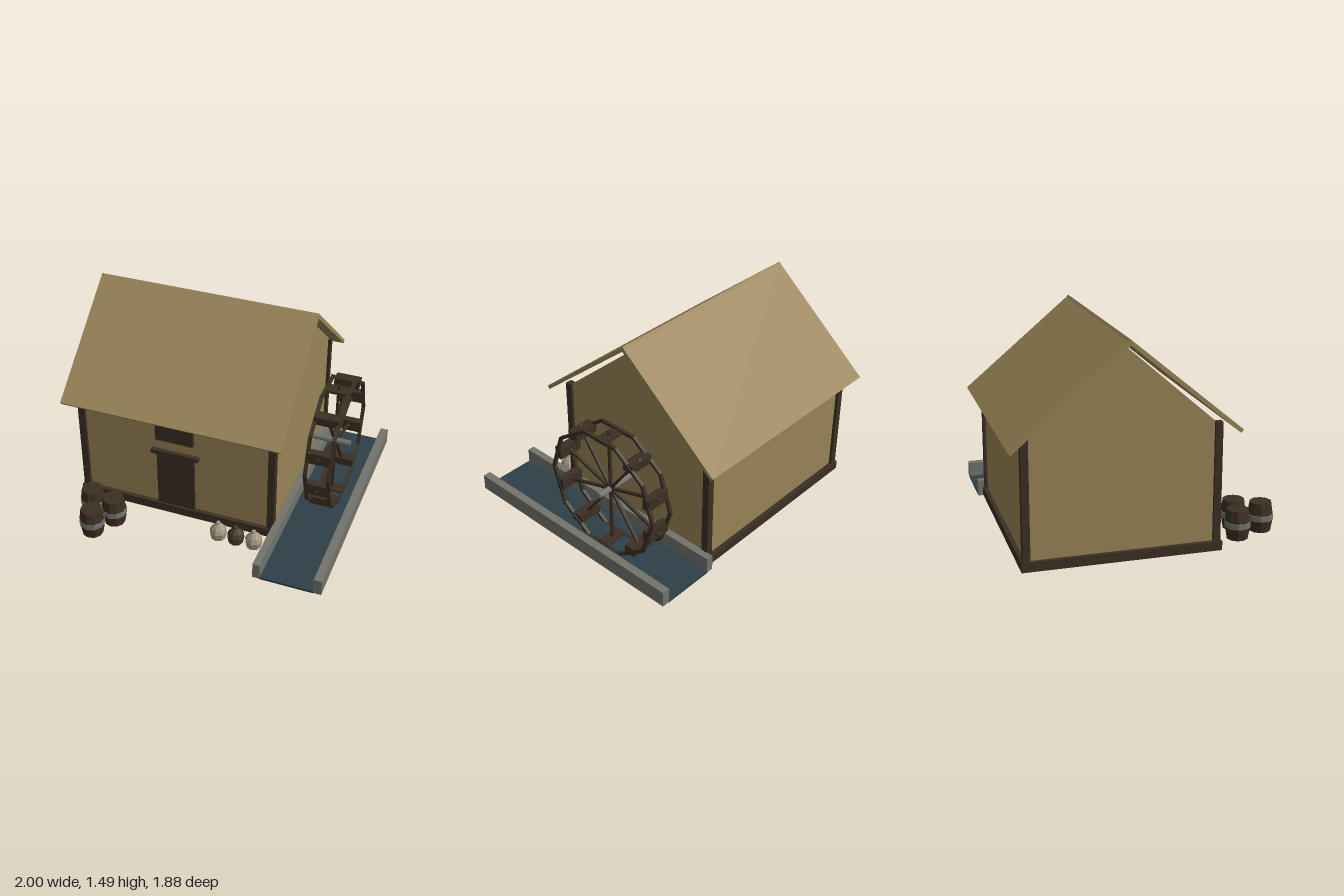
import * as THREE from 'three';

const mat = (name, color, extra = {}) => {
  const m = new THREE.MeshStandardMaterial({ color, flatShading: true, ...extra });
  m.name = name;
  return m;
};

export function createModel() {
  const root = new THREE.Group();
  root.name = 'watermill';
  const plaster = mat('straw plaster', 0x988356);
  const wood = mat('dark wood', 0x3b2f23);
  const stone = mat('grey stone', 0x73736b);
  const water = mat('water', 0x2d3f49);
  const cloth = mat('pale sackcloth', 0xa0957f);
  const brown = mat('brown sackcloth', 0x46362a);

  const add = (name, geo, material, parent = root) => {
    const m = new THREE.Mesh(geo, material);
    m.name = name;
    parent.add(m);
    return m;
  };
  // Box given by its extents along each axis
  const box = (name, material, x0, x1, y0, y1, z0, z1, parent = root) => {
    const m = add(name, new THREE.BoxGeometry(x1 - x0, y1 - y0, z1 - z0), material, parent);
    m.position.set((x0 + x1) / 2, (y0 + y1) / 2, (z0 + z1) / 2);
    return m;
  };
  // Extrude a [z, y] outline along x
  const prism = (name, material, pts, x0, x1) => {
    const shape = new THREE.Shape(pts.map(([z, y]) => new THREE.Vector2(-z, y)));
    const geo = new THREE.ExtrudeGeometry(shape, { depth: x1 - x0, bevelEnabled: false });
    geo.rotateY(Math.PI / 2).translate(x0, 0, 0);
    return add(name, geo, material);
  };
  const lathe = (pts, sides) =>
    new THREE.LatheGeometry(pts.map(([r, y]) => new THREE.Vector2(r, y)), sides);

  // House body with gables
  box('foundation', wood, -0.94, 0.53, 0.032, 0.096, -0.865, 0.472);
  prism('walls', plaster,
    [[0.44, 0.09], [0.44, 0.89], [-0.2, 1.45], [-0.835, 0.9], [-0.835, 0.09]], -0.91, 0.505);
  for (const x of [-0.93, 0.475])
    for (const z of [-0.855, 0.411])
      box('cornerPost', wood, x, x + 0.05, 0.09, 0.908, z, z + 0.05);

  // Roof slabs, each from its eave to the ridge
  const slab = (name, eave, ridge) => {
    const dz = ridge[0] - eave[0], dy = ridge[1] - eave[1], len = Math.hypot(dz, dy);
    const t = 0.027, s = Math.sign(dz);
    const oz = s * dy / len * t, oy = -Math.abs(dz) / len * t;
    prism(name, plaster, [eave, ridge, [ridge[0] + oz, ridge[1] + oy], [eave[0] + oz, eave[1] + oy]],
      -1, 0.595);
  };
  slab('frontRoof', [0.573, 0.868], [-0.178, 1.495]);
  slab('backRoof', [-0.945, 0.848], [-0.178, 1.49]);

  // Door, lintel and shuttered window
  box('door', wood, -0.342, -0.064, 0.09, 0.535, 0.43, 0.458);
  box('lintel', wood, -0.38, -0.028, 0.535, 0.567, 0.43, 0.472);
  box('window', wood, -0.342, -0.064, 0.66, 0.802, 0.43, 0.472);

  // Water channel
  box('channelWallInner', stone, 0.52, 0.572, 0.028, 0.144, -0.9, 0.88);
  box('channelWallOuter', stone, 0.943, 1.0, 0.028, 0.144, -0.9, 0.88);
  box('channelWater', water, 0.57, 0.945, 0.024, 0.04, -0.9, 0.88);

  // Water wheel, centred on its axle
  const wheel = new THREE.Group();
  wheel.name = 'waterWheel';
  wheel.position.set(0.759, 0.474, -0.2);
  root.add(wheel);
  const axle = add('axle', new THREE.CylinderGeometry(0.021, 0.021, 0.3, 8), stone, wheel);
  axle.rotation.z = Math.PI / 2;
  axle.position.x = -0.037;
  const rim = lathe([[0.475, -0.012], [0.475, 0.012], [0.453, 0.012], [0.453, -0.012], [0.475, -0.012]], 10)
    .rotateZ(Math.PI / 2);
  for (const x of [-0.083, 0.083]) add('wheelRim', rim, wood, wheel).position.x = x;
  for (let i = 0; i < 10; i++) {
    const a = Math.PI / 10 + i * Math.PI / 5, c = Math.cos(a), s = Math.sin(a);
    const spoke = add('spoke', new THREE.BoxGeometry(0.02, 0.472, 0.017), wood, wheel);
    spoke.position.set(0, s * 0.236, c * 0.236);
    spoke.rotation.x = Math.PI / 2 - a;
    const paddle = add('paddle', new THREE.BoxGeometry(0.18,
      0.018 + 0.07 * Math.abs(c), 0.04 + 0.05 * Math.abs(s)), wood, wheel);
    paddle.position.set(0, s * 0.43, c * 0.43);
  }

  // Barrels with a metal hoop
  const barrelGeo = lathe([[0, 0], [0.073, 0], [0.086, 0.075], [0.086, 0.132], [0.075, 0.207], [0, 0.207]], 10);
  const hoopGeo = lathe([[0.086, 0.082], [0.09, 0.084], [0.09, 0.122], [0.086, 0.124]], 10);
  for (const [x, z] of [[-0.765, 0.647], [-0.58, 0.69], [-0.674, 0.85]]) {
    const barrel = new THREE.Group();
    barrel.name = 'barrel';
    barrel.position.set(x, 0.032, z);
    add('staves', barrelGeo, wood, barrel);
    add('hoop', hoopGeo, stone, barrel);
    root.add(barrel);
  }

  // Grain sacks
  const sackGeo = lathe([[0, 0], [0.052, 0], [0.063, 0.055], [0.05, 0.085], [0.018, 0.12], [0.014, 0.134], [0, 0.134]], 8);
  [[0.167, cloth], [0.296, brown], [0.428, cloth]].forEach(([x, m]) =>
    add('sack', sackGeo, m).position.set(x, 0.032, 0.59));

  return root;
}
